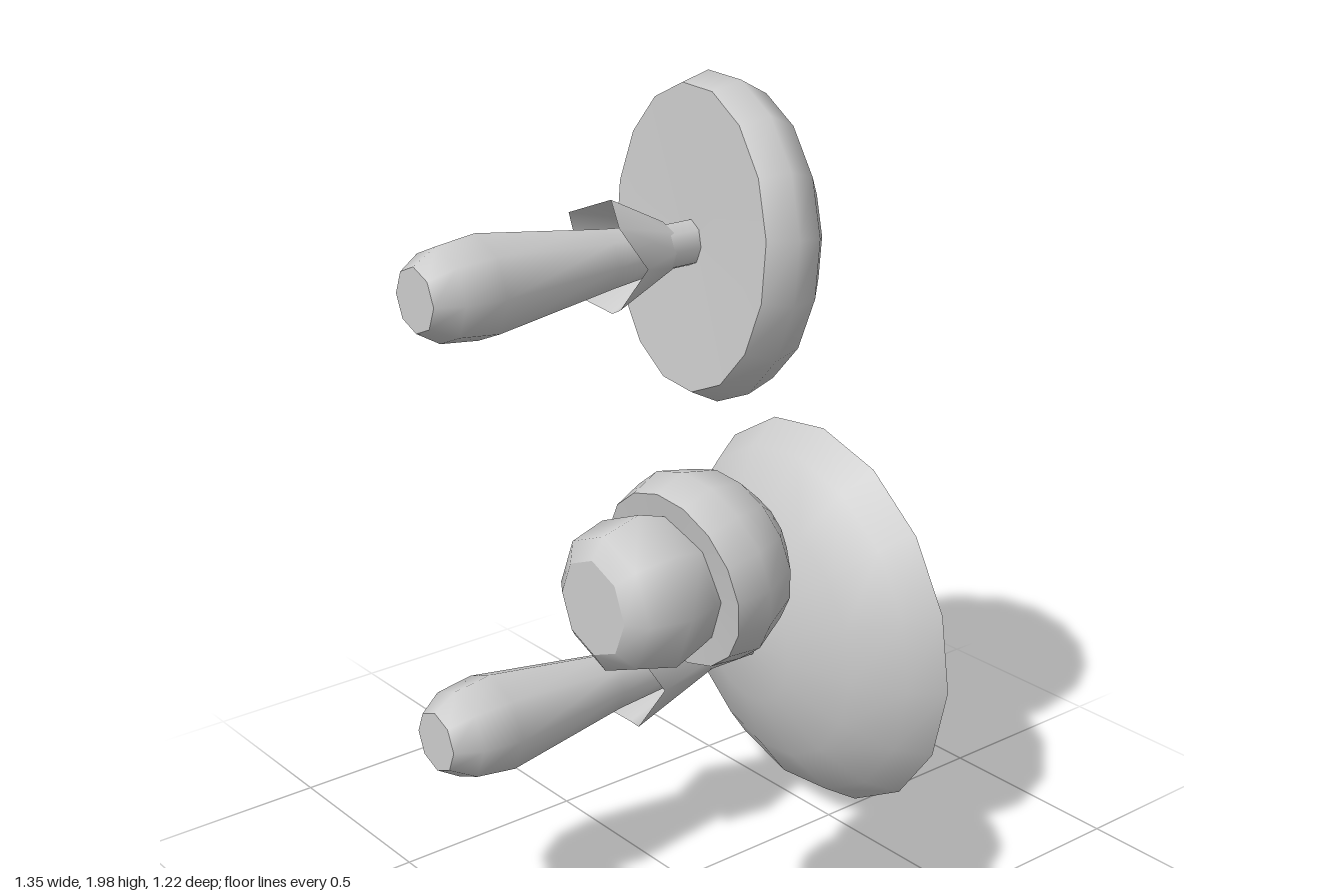
import * as THREE from 'three';

const UP = new THREE.Vector3(0, 1, 0);
const mat = new THREE.MeshStandardMaterial({ color: 0xcccccc });
const thinMat = new THREE.MeshStandardMaterial({ color: 0xcccccc, side: THREE.DoubleSide });

// A lathe whose own y axis points along dir; listing points from bottom to top faces outwards.
function turned(name, profile, sides, pos, dir) {
  const geo = new THREE.LatheGeometry(profile.map(([r, h]) => new THREE.Vector2(r, h)), sides);
  const mesh = new THREE.Mesh(geo, mat);
  mesh.name = name;
  mesh.position.set(...pos);
  mesh.quaternion.setFromUnitVectors(UP, new THREE.Vector3(...dir).normalize());
  return mesh;
}

// Flared skirt with a zigzag hem, from radius r0 at the neck to r1 at the hem.
function skirt(pos, length, r0, r1, notch, sides) {
  const verts = [], index = [];
  for (let i = 0; i < sides; i++) {
    const a = (i / sides) * Math.PI * 2;
    const drop = -length - (i % 2 ? notch : 0);
    verts.push(r0 * Math.sin(a), 0, r0 * Math.cos(a), r1 * Math.sin(a), drop, r1 * Math.cos(a));
    const n = (i + 1) % sides;
    index.push(2 * i, 2 * i + 1, 2 * n, 2 * n, 2 * i + 1, 2 * n + 1);
  }
  const geo = new THREE.BufferGeometry();
  geo.setAttribute('position', new THREE.Float32BufferAttribute(verts, 3));
  geo.setIndex(index);
  geo.computeVertexNormals();
  const mesh = new THREE.Mesh(geo, thinMat);
  mesh.name = 'skirt';
  mesh.position.set(...pos);
  mesh.rotation.x = -Math.PI / 2;
  return mesh;
}

// Each mushroom lies with its foot at z = 0.61 and grows towards -z.
const FOOT = 0.61;
const MUSHROOMS = [
  {
    name: 'wideMushroom', x: -0.165, y: 0.53,
    stem: [[0.075, 0], [0.112, 0.06], [0.125, 0.16], [0.075, 0.5], [0.06, 0.7], [0.06, 0.96]],
    capPos: [-0.155, 0.53, -0.577], capDir: [0.062, 0.028, -1],
    cap: [[0.05, -0.245], [0.18, -0.232], [0.35, -0.17], [0.47, -0.085], [0.525, 0]],
    face: [[0.525, 0], [0.35, -0.06], [0.18, -0.1], [0, -0.115]],
    skirt: [-0.22, 0.25, 0.06, 0.14, 0.05],
  },
  {
    name: 'roundMushroom', x: -0.165, y: 1.6,
    stem: [[0.075, 0], [0.11, 0.06], [0.122, 0.16], [0.075, 0.5], [0.055, 0.68], [0.055, 0.8]],
    capPos: [-0.165, 1.61, -0.145], capDir: [0.186, -0.083, -1],
    cap: [[0.362, 0], [0.39, 0.07], [0.356, 0.145], [0.25, 0.217], [0.13, 0.255], [0, 0.268]],
    face: [[0, 0.01], [0.362, 0]],
    skirt: [-0.08, 0.15, 0.06, 0.135, 0.05],
  },
  {
    name: 'buttonMushroom', x: 0.46, y: 1.095,
    stem: [[0.105, 0], [0.15, 0.03], [0.174, 0.12], [0.15, 0.2], [0.13, 0.26]],
    capPos: [0.46, 1.1, 0.402], capDir: [-0.06, 0.16, -1],
    cap: [[0.2, 0], [0.218, 0.075], [0.185, 0.165], [0.11, 0.23], [0, 0.258]],
    face: [[0, 0.01], [0.2, 0]],
  },
];

export function createModel() {
  const model = new THREE.Group();
  model.name = 'mushrooms';
  for (const m of MUSHROOMS) {
    const group = new THREE.Group();
    group.name = m.name;
    const foot = [m.x, m.y, FOOT];
    group.add(
      turned('stem', m.stem, 8, foot, [0, 0, -1]),
      turned('stemFoot', [[0, 0], m.stem[0]], 8, foot, [0, 0, -1]),
      turned('cap', m.cap, 16, m.capPos, m.capDir),
      turned('capFace', m.face, 16, m.capPos, m.capDir),
    );
    if (m.skirt) {
      const [z, length, r0, r1, notch] = m.skirt;
      group.add(skirt([m.x - 0.01, m.y, z], length, r0, r1, notch, 8));
    }
    model.add(group);
  }
  return model;
}
